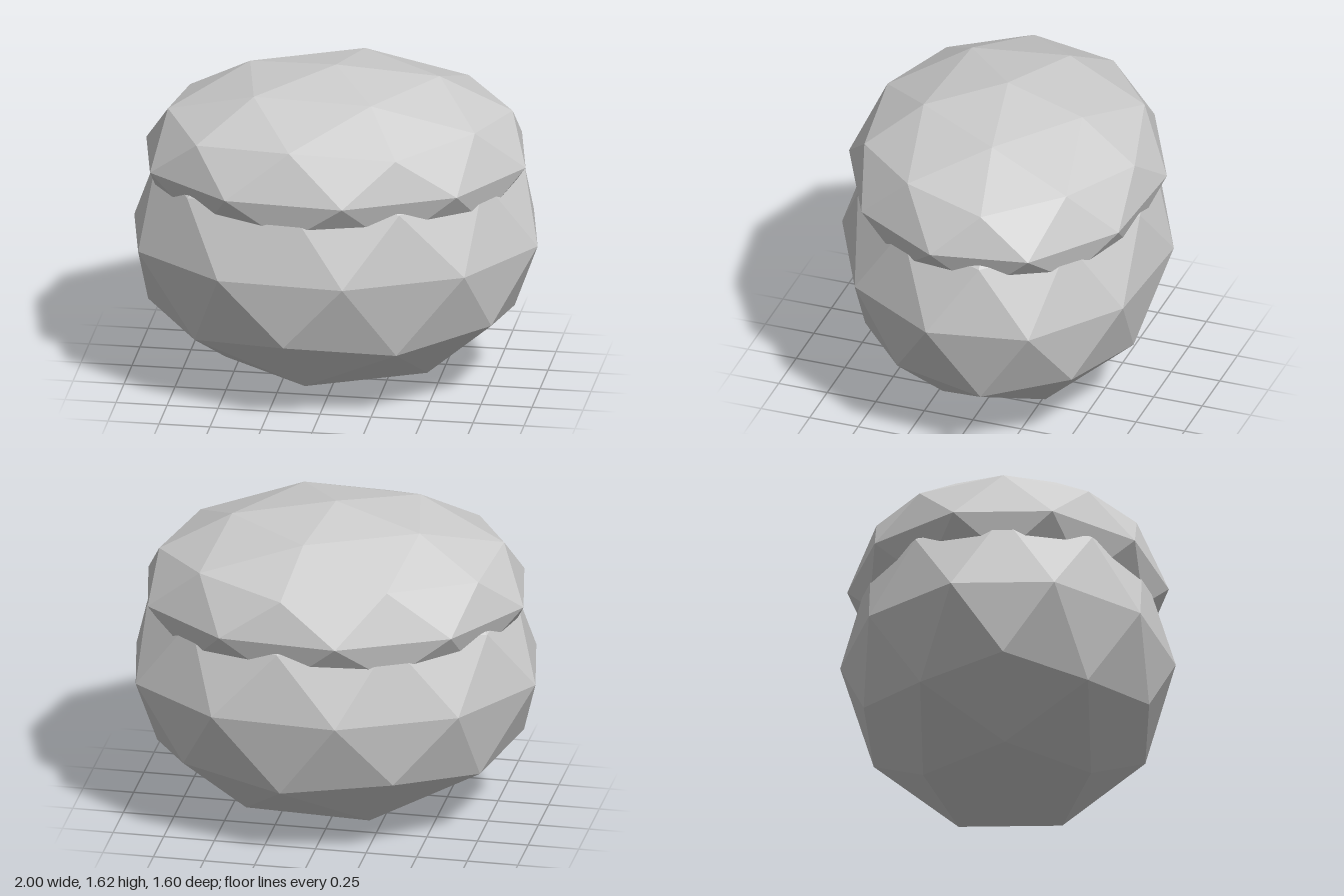
import * as THREE from 'three';

const stone = new THREE.MeshStandardMaterial({ color: 0xcccccc });
stone.name = 'light grey';
stone.flatShading = true;

// Faceted ball with a vertex at each pole, squashed and then turned about y
function facetedBall(name, rx, ry, rz, y) {
  const geometry = new THREE.IcosahedronGeometry(1, 1);
  geometry.rotateZ(-Math.atan(2 / (1 + Math.sqrt(5))));
  geometry.scale(rx, ry, rz);
  geometry.rotateY(THREE.MathUtils.degToRad(11));
  geometry.computeVertexNormals();
  const mesh = new THREE.Mesh(geometry, stone);
  mesh.name = name;
  mesh.position.y = y;
  return mesh;
}

export function createModel() {
  const model = new THREE.Group();
  model.name = 'stackedBoulders';
  // Large round base
  model.add(facetedBall('base', 1.018, 0.764, 0.813, 0.77));
  // Flatter cap sunk into the base
  model.add(facetedBall('cap', 0.957, 0.456, 0.779, 1.175));
  return model;
}
